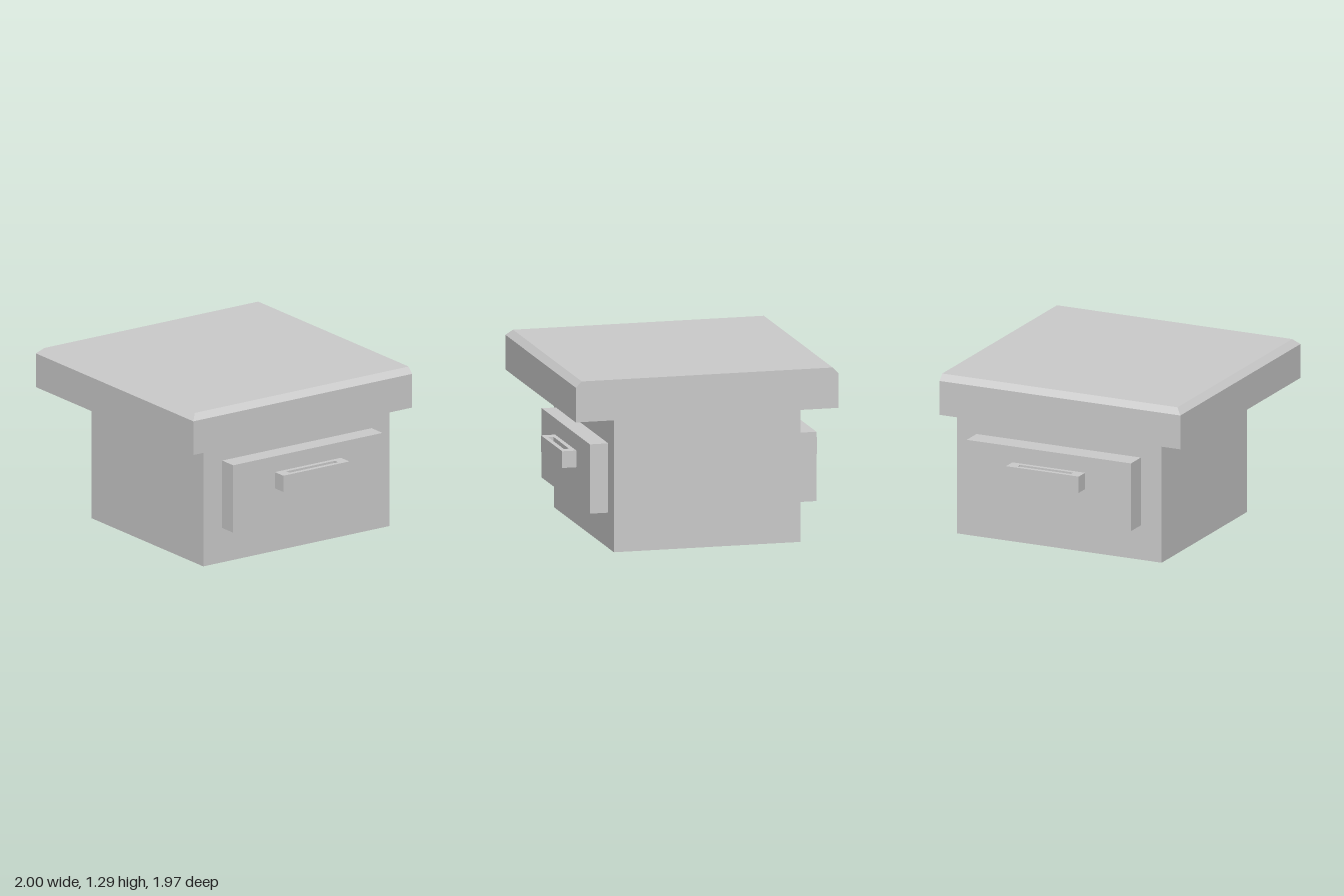
import * as THREE from 'three';

const material = new THREE.MeshStandardMaterial({ color: 0xcccccc, flatShading: true });

function addMesh(parent, name, geometry) {
  const mesh = new THREE.Mesh(geometry, material);
  mesh.name = name;
  parent.add(mesh);
  return mesh;
}

// Box given by its extents on each axis
function boxBetween([x0, x1], [y0, y1], [z0, z1]) {
  return new THREE.BoxGeometry(x1 - x0, y1 - y0, z1 - z0)
    .translate((x0 + x1) / 2, (y0 + y1) / 2, (z0 + z1) / 2);
}

// Drawer front and slotted handle; side is +1 (left) or -1 (right)
function createDrawer(side, faceX, gripX) {
  const drawer = new THREE.Group();
  const span = (a, b) => (side > 0 ? [a, b] : [-b, -a]);
  addMesh(drawer, 'drawerFront', boxBetween(span(0.7, faceX), [0.265, 0.785], [-0.825, 0.52]));

  // Handle outline drawn in x and -z, with a finger slot cut right through
  const [x0, x1] = span(faceX, gripX);
  const mid = (x0 + x1) / 2;
  const rect = (C, xa, xb, za, zb) => new C([
    new THREE.Vector2(xa, -zb), new THREE.Vector2(xb, -zb),
    new THREE.Vector2(xb, -za), new THREE.Vector2(xa, -za),
  ]);
  const outline = rect(THREE.Shape, x0, x1, -0.45, 0.145);
  outline.holes.push(rect(THREE.Path, mid - 0.02, mid + 0.02, -0.37, 0.065));
  const handle = new THREE.ExtrudeGeometry(outline, { depth: 0.125, bevelEnabled: false });
  addMesh(drawer, 'drawerHandle', handle.rotateX(-Math.PI / 2).translate(0, 0.538, 0));
  return drawer;
}

export function createModel() {
  const model = new THREE.Group();
  model.name = 'cabinet';

  addMesh(model, 'body', boxBetween([-0.71, 0.71], [0, 0.99], [-0.985, 0.69]));
  addMesh(model, 'topSlab', boxBetween([-1, 1], [0.99, 1.25], [-0.985, 0.985]));

  // Chamfered top: upper corners move inwards, except along the flush back
  const chamfer = boxBetween([-1, 1], [1.25, 1.295], [-0.985, 0.985]);
  const p = chamfer.attributes.position;
  for (let i = 0; i < p.count; i++) {
    if (p.getY(i) < 1.27) continue;
    p.setX(i, Math.sign(p.getX(i)) * 0.955);
    if (p.getZ(i) > 0) p.setZ(i, 0.94);
  }
  chamfer.computeVertexNormals();
  addMesh(model, 'topChamfer', chamfer);

  const left = createDrawer(1, 0.85, 0.958);
  left.name = 'leftDrawer';
  const right = createDrawer(-1, 0.875, 0.983);
  right.name = 'rightDrawer';
  model.add(left, right);
  return model;
}
